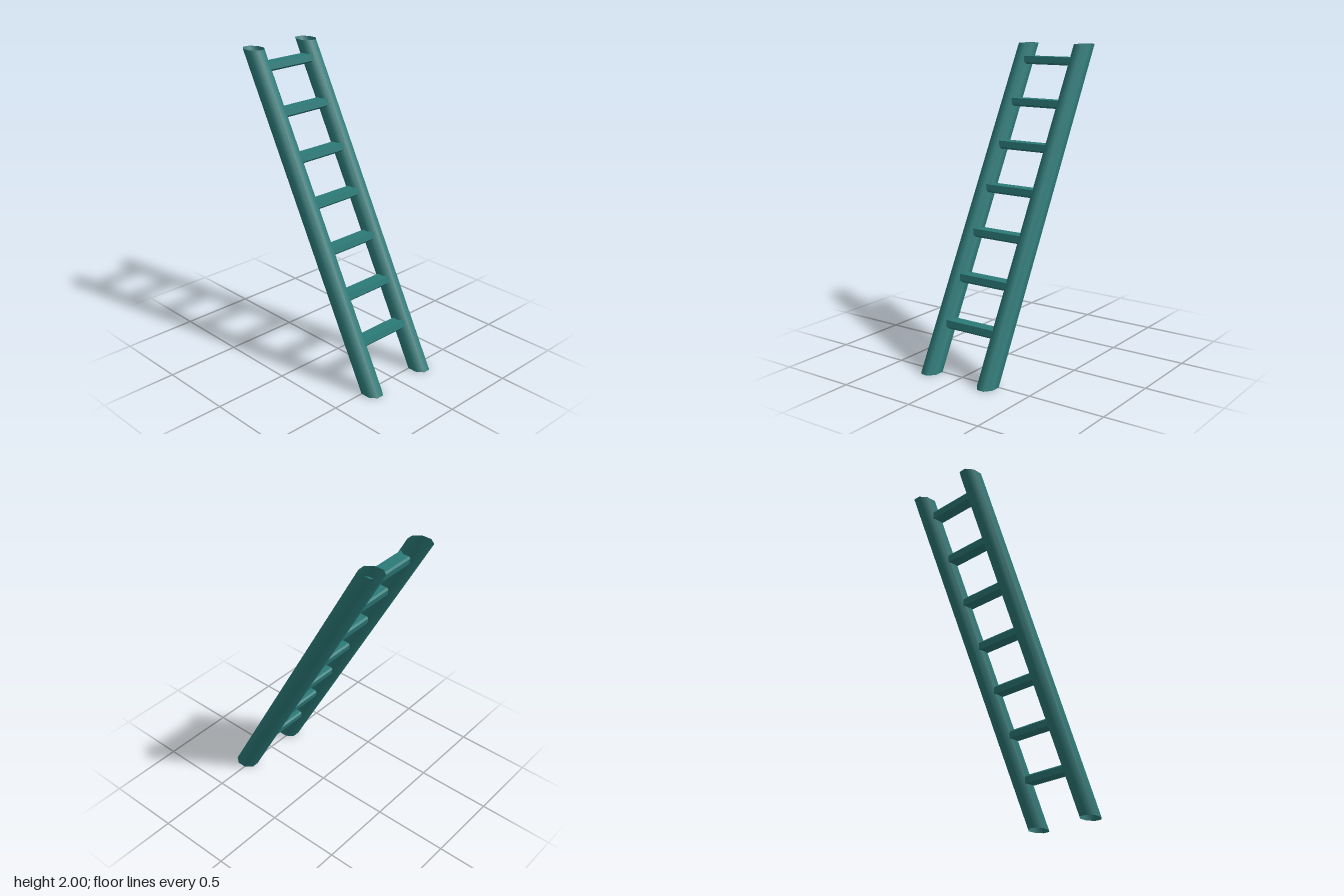
import * as THREE from 'three';

const SLOPE = -0.53; // sideways lean per unit of height

export function createModel() {
  const group = new THREE.Group();
  group.name = 'leaningLadder';
  const smooth = new THREE.MeshStandardMaterial({ color: 0x2b7a78, side: THREE.DoubleSide });
  const flat = new THREE.MeshStandardMaterial({ color: 0x2b7a78, flatShading: true });

  // Rails: hollow eight-sided tubes, sheared so their ends are cut level
  const k = 1 / Math.cos(Math.PI / 8);
  const lean = new THREE.Matrix4().set(
    1, SLOPE, 0, 0,
    0, 1, 0, 0,
    0, 0, 1, 0,
    0, 0, 0, 1);
  const railGeo = new THREE.CylinderGeometry(1, 1, 2, 8, 1, true)
    .rotateY(Math.PI / 8)
    .scale(0.075 * k, 1, 0.059 * k)
    .applyMatrix4(lean)
    .translate(0, 1, 0);
  for (const [name, z] of [['frontRail', 0.217], ['backRail', -0.217]]) {
    const rail = new THREE.Mesh(railGeo, smooth);
    rail.name = name;
    rail.position.z = z;
    group.add(rail);
  }

  // Rungs: flat treads with slightly slanted edges
  const profile = new THREE.Shape([
    [-0.038, -0.026], [0.037, -0.026], [0.047, -0.014],
    [0.038, 0.026], [-0.037, 0.026], [-0.047, 0.014],
  ].map(([x, y]) => new THREE.Vector2(x, y)));
  const rungGeo = new THREE.ExtrudeGeometry(profile, { depth: 0.38, bevelEnabled: false })
    .translate(0, 0, -0.19);
  for (let i = 0; i < 7; i++) {
    const y = 0.289 + i * 0.267;
    const rung = new THREE.Mesh(rungGeo, flat);
    rung.name = `rung${i + 1}`;
    rung.position.set(0.011 + SLOPE * (y - 1), y, 0);
    group.add(rung);
  }
  return group;
}
